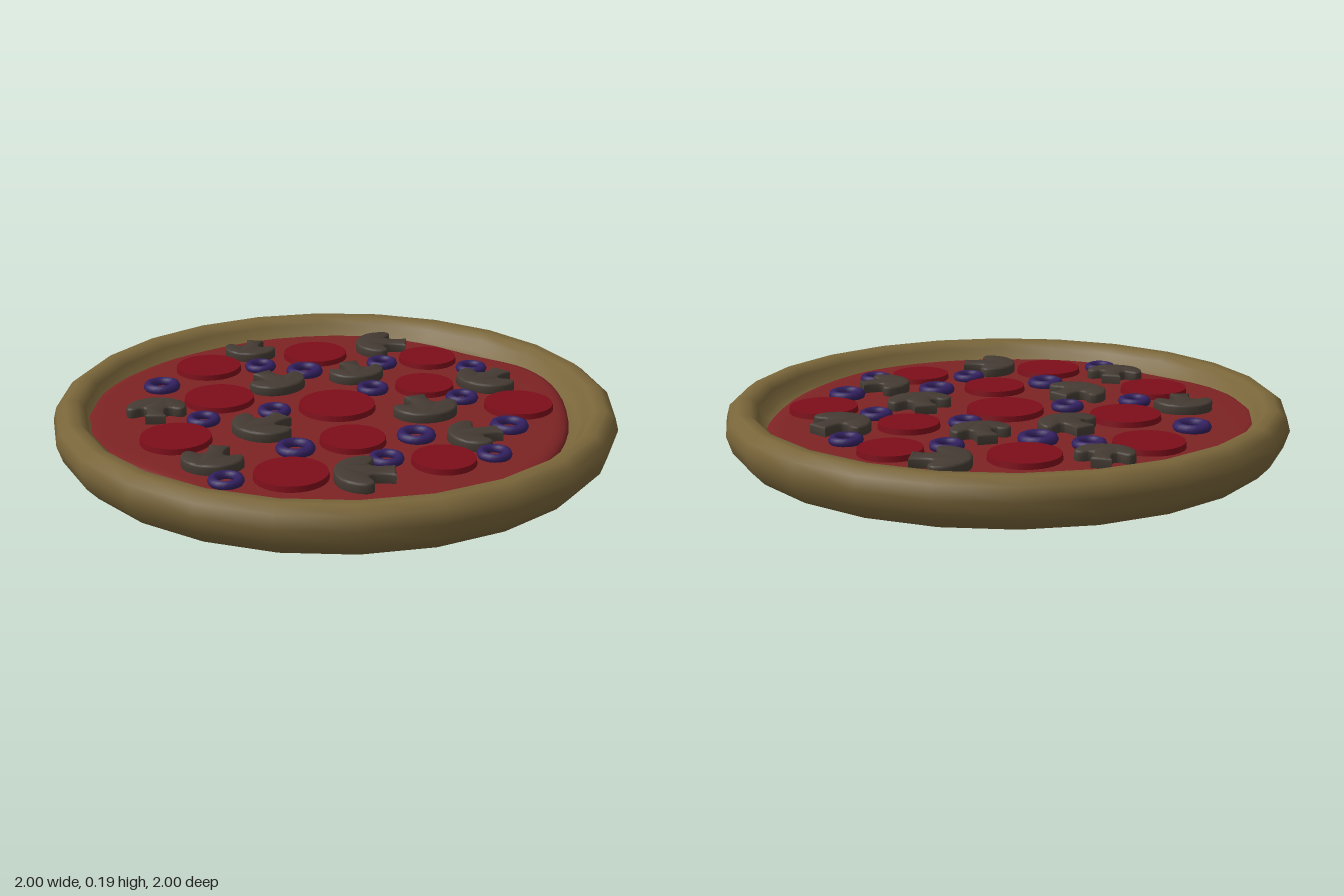
import * as THREE from 'three';
import { toCreasedNormals } from 'three/addons/utils/BufferGeometryUtils.js';

const mat = (color, extra = {}) => new THREE.MeshStandardMaterial({ color, ...extra });
const SAUCE_TOP = 0.125;

// Lay an outline flat and give it a rounded, bevelled thickness, base at y = 0
function slab(shape, height, bevel, bevelHeight, segments, curveSegments) {
  const geo = new THREE.ExtrudeGeometry(shape, {
    depth: height - 2 * bevelHeight, curveSegments,
    bevelSize: bevel, bevelOffset: -bevel, bevelThickness: bevelHeight, bevelSegments: segments,
  });
  geo.translate(0, 0, bevelHeight).rotateX(-Math.PI / 2);
  return toCreasedNormals(geo, 0.9);
}

// Mushroom slice: domed cap towards -y, stem towards +y
function mushroomShape() {
  const s = new THREE.Shape();
  s.moveTo(-0.04, 0.1);
  s.lineTo(0.04, 0.1);
  s.quadraticCurveTo(0.028, 0.06, 0.035, 0.025);
  s.quadraticCurveTo(0.05, 0.005, 0.07, 0.022);
  s.quadraticCurveTo(0.112, 0.045, 0.118, 0);
  s.bezierCurveTo(0.112, -0.065, 0.06, -0.1, 0, -0.1);
  s.bezierCurveTo(-0.06, -0.1, -0.112, -0.065, -0.118, 0);
  s.quadraticCurveTo(-0.112, 0.045, -0.07, 0.022);
  s.quadraticCurveTo(-0.05, 0.005, -0.035, 0.025);
  s.quadraticCurveTo(-0.028, 0.06, -0.04, 0.1);
  return s;
}

export function createModel() {
  const root = new THREE.Group();
  root.name = 'pizza';
  const add = (name, geo, material, x = 0, y = 0, z = 0, parent = root) => {
    const mesh = new THREE.Mesh(geo, material);
    mesh.name = name;
    mesh.position.set(x, y, z);
    parent.add(mesh);
    return mesh;
  };
  const addGroup = (name) => {
    const g = new THREE.Group();
    g.name = name;
    root.add(g);
    return g;
  };

  // Crust: base and raised rim in one turned profile
  const profile = [
    [0, 0], [0.89, 0], [0.94, 0.012], [0.98, 0.055], [1, 0.115], [0.988, 0.16], [0.955, 0.185],
    [0.915, 0.182], [0.888, 0.158], [0.87, 0.115], [0.82, 0.095], [0, 0.095],
  ].map(([r, y]) => new THREE.Vector2(r, y));
  add('crust', new THREE.LatheGeometry(profile, 24), mat(0x7a663a));

  // Sauce: uneven edge, listed as x, z around the rim
  const edge = [
    [0.86, 0], [0.835, 0.24], [0.7, 0.51], [0.41, 0.775], [0.22, 0.84], [0, 0.83], [-0.315, 0.825],
    [-0.61, 0.67], [-0.8, 0.4], [-0.86, 0.15], [-0.86, -0.08], [-0.75, -0.44], [-0.5, -0.72],
    [-0.235, -0.82], [0, -0.83], [0.245, -0.845], [0.41, -0.775], [0.59, -0.6], [0.77, -0.32],
  ].map(([x, z]) => new THREE.Vector3(x, -z, 0));
  const outline = new THREE.CatmullRomCurve3(edge, true).getPoints(60).slice(0, -1);
  const sauceShape = new THREE.Shape(outline.map((p) => new THREE.Vector2(p.x, p.y)));
  add('sauce', slab(sauceShape, 0.06, 0.05, 0.028, 4, 1), mat(0x7d2324), 0, SAUCE_TOP - 0.06, 0);

  // Pepperoni: x, z, radius
  const pepperoni = addGroup('pepperoniSlices');
  const pepperoniMat = mat(0x7d0e1a);
  for (const [x, z, r] of [
    [0, -0.01, 0.14], [-0.07, -0.635, 0.112], [-0.435, -0.385, 0.125], [0.11, -0.38, 0.11],
    [0.49, -0.44, 0.125], [-0.64, 0, 0.125], [-0.37, 0.215, 0.128], [0.25, 0.2, 0.115],
    [0.59, 0.14, 0.11], [-0.21, 0.585, 0.125], [0.29, 0.555, 0.125],
  ]) {
    const geo = new THREE.CylinderGeometry(r * 0.97, r, 0.028, 32);
    add('pepperoni', geo, pepperoniMat, x, SAUCE_TOP + 0.006, z, pepperoni);
  }

  // Mushrooms: x, z, stem direction x, z, scale
  const mushrooms = addGroup('mushroomSlices');
  const mushroomGeo = slab(mushroomShape(), 0.045, 0.006, 0.008, 2, 6);
  const mushroomMat = mat(0x443b33);
  for (const [x, z, dx, dz, s] of [
    [-0.295, -0.625, 0.8, -0.6, 1], [0.262, -0.562, 0, -1, 1], [-0.16, -0.305, -0.85, -0.5, 0.9],
    [-0.64, -0.23, -0.5, -0.85, 0.85], [-0.315, -0.03, -1, -0.2, 0.95], [0.27, -0.175, -0.85, -0.5, 1],
    [0.555, -0.08, 0.5, -0.85, 0.9], [-0.44, 0.46, 0.7, 0.7, 0.9], [-0.048, 0.325, 0, -1, 1],
    [0.03, 0.65, -0.5, -0.85, 0.9], [0.48, 0.415, 0.75, -0.65, 1],
  ]) {
    const slice = add('mushroom', mushroomGeo, mushroomMat, x, SAUCE_TOP - 0.01, z, mushrooms);
    slice.rotation.y = Math.atan2(-dx, -dz);
    slice.scale.set(s, 1, s);
  }

  // Olive rings: x, z, outer radius
  const olives = addGroup('oliveRings');
  const oliveGeo = new THREE.TorusGeometry(0.73, 0.27, 8, 20).rotateX(Math.PI / 2);
  const oliveMat = mat(0x32205f);
  for (const [x, z, r] of [
    [0.125, -0.655, 0.06], [-0.17, -0.475, 0.06], [0.29, -0.37, 0.06], [-0.015, -0.23, 0.06],
    [-0.335, -0.21, 0.07], [-0.5, -0.14, 0.06], [0.58, -0.25, 0.068], [0.39, 0.03, 0.068],
    [0.685, -0.01, 0.06], [-0.135, 0.175, 0.06], [-0.625, 0.26, 0.068], [-0.265, 0.4, 0.06],
    [0.155, 0.385, 0.068], [0.44, 0.255, 0.06], [0.165, 0.725, 0.06],
  ]) {
    add('olive', oliveGeo, oliveMat, x, SAUCE_TOP + 0.01, z, olives).scale.setScalar(r);
  }
  return root;
}
